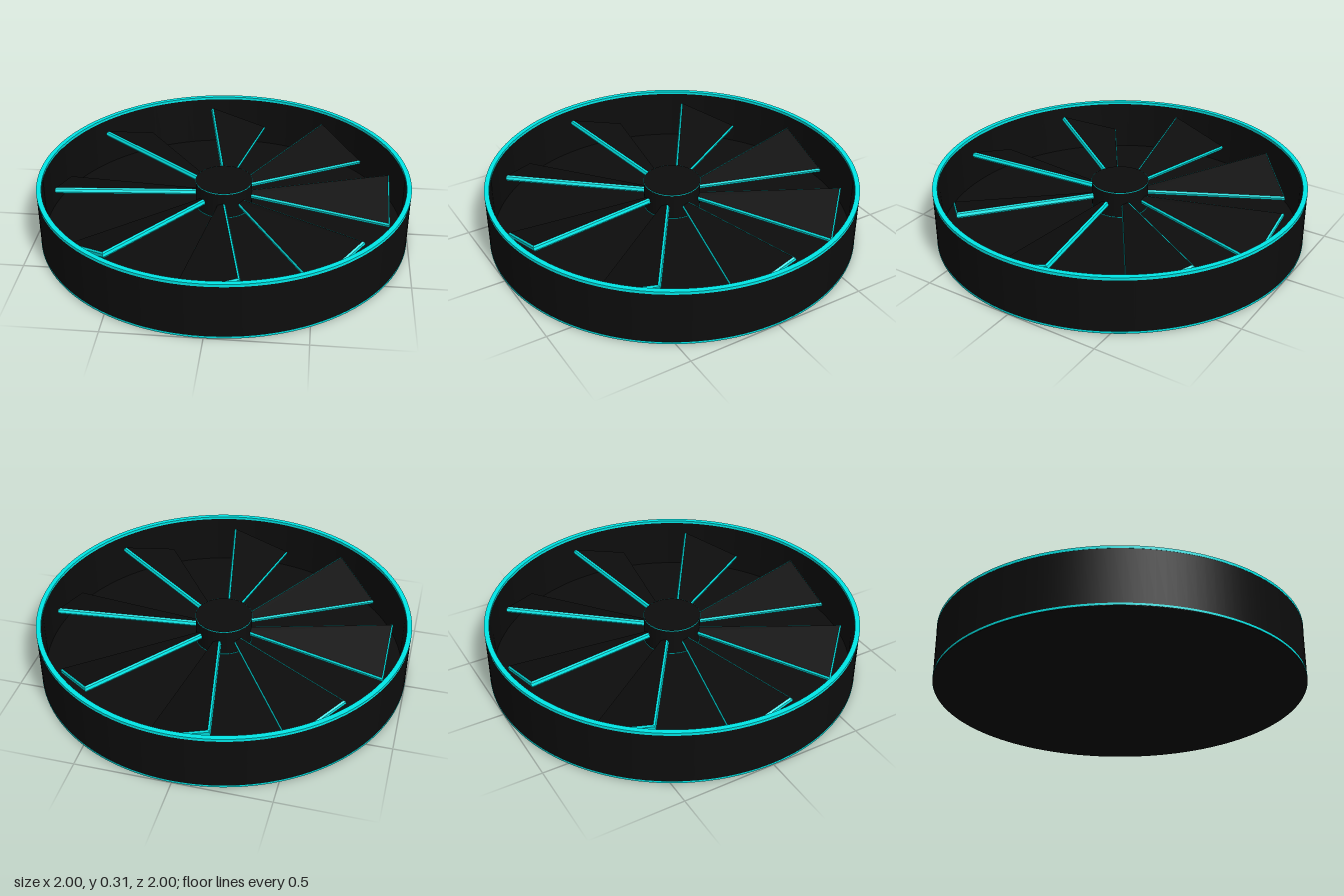
import * as THREE from 'three';
import { mergeGeometries } from 'three/addons/utils/BufferGeometryUtils.js';

const black = new THREE.MeshStandardMaterial({ color: 0x0d0d0d });
const cyan = new THREE.MeshStandardMaterial({ color: 0x00e8e8 });

const BLADES = 8;
const BLADE_TILT = 0.34;
const MID_Y = 0.205;

// Crisp-edged ring: each side of its rectangular section is lathed separately
function ringGeometry(inner, outer, y0, y1) {
  const c = [[outer, y0], [outer, y1], [inner, y1], [inner, y0]].map(p => new THREE.Vector2(...p));
  return mergeGeometries(c.map((p, i) => new THREE.LatheGeometry([p, c[(i + 1) % 4]], 128)));
}

function add(parent, name, geometry, material, y = 0) {
  const mesh = new THREE.Mesh(geometry, material);
  mesh.name = name;
  mesh.position.y = y;
  parent.add(mesh);
  return mesh;
}

// Flat wedge pointing along +x, with bevelled coloured edges
function bladeGeometry() {
  const bevel = 0.008;
  const shape = new THREE.Shape([
    new THREE.Vector2(0.14, -0.013),
    new THREE.Vector2(0.885, -0.167),
    new THREE.Vector2(0.885, 0.167),
    new THREE.Vector2(0.14, 0.013),
  ]);
  const depth = 0.016;
  const geometry = new THREE.ExtrudeGeometry(shape, {
    depth, bevelEnabled: true, bevelSize: bevel, bevelThickness: bevel, bevelSegments: 1,
  });
  return geometry.translate(0, 0, -depth / 2).rotateX(-Math.PI / 2);
}

export function createModel() {
  const model = new THREE.Group();
  model.name = 'fan';

  // Drum housing: closed floor, wall and coloured edge rings
  add(model, 'floor', new THREE.CylinderGeometry(0.995, 0.995, 0.012, 128), black, 0.006);
  add(model, 'wall', ringGeometry(0.978, 0.999, 0.001, 0.302), black);
  add(model, 'bottomTrim', ringGeometry(0.99, 1, 0.002, 0.013), cyan);
  add(model, 'topTrim', ringGeometry(0.974, 1, 0.3, 0.315), cyan);

  // Hub with thin coloured edges
  add(model, 'hub', new THREE.CylinderGeometry(0.152, 0.152, 0.152, 64), black, 0.211);
  for (const [name, y] of [['hubTopTrim', 0.282], ['hubBottomTrim', 0.136]]) {
    add(model, name, ringGeometry(0.15, 0.154, y, y + 0.004), cyan);
  }

  // Pitched blades around the hub
  const blade = bladeGeometry();
  for (let i = 0; i < BLADES; i++) {
    const arm = new THREE.Group();
    arm.name = 'bladeArm';
    arm.rotation.y = (i / BLADES) * Math.PI * 2;
    add(arm, 'blade', blade, [black, cyan], MID_Y).rotation.x = BLADE_TILT;
    model.add(arm);
  }
  return model;
}
